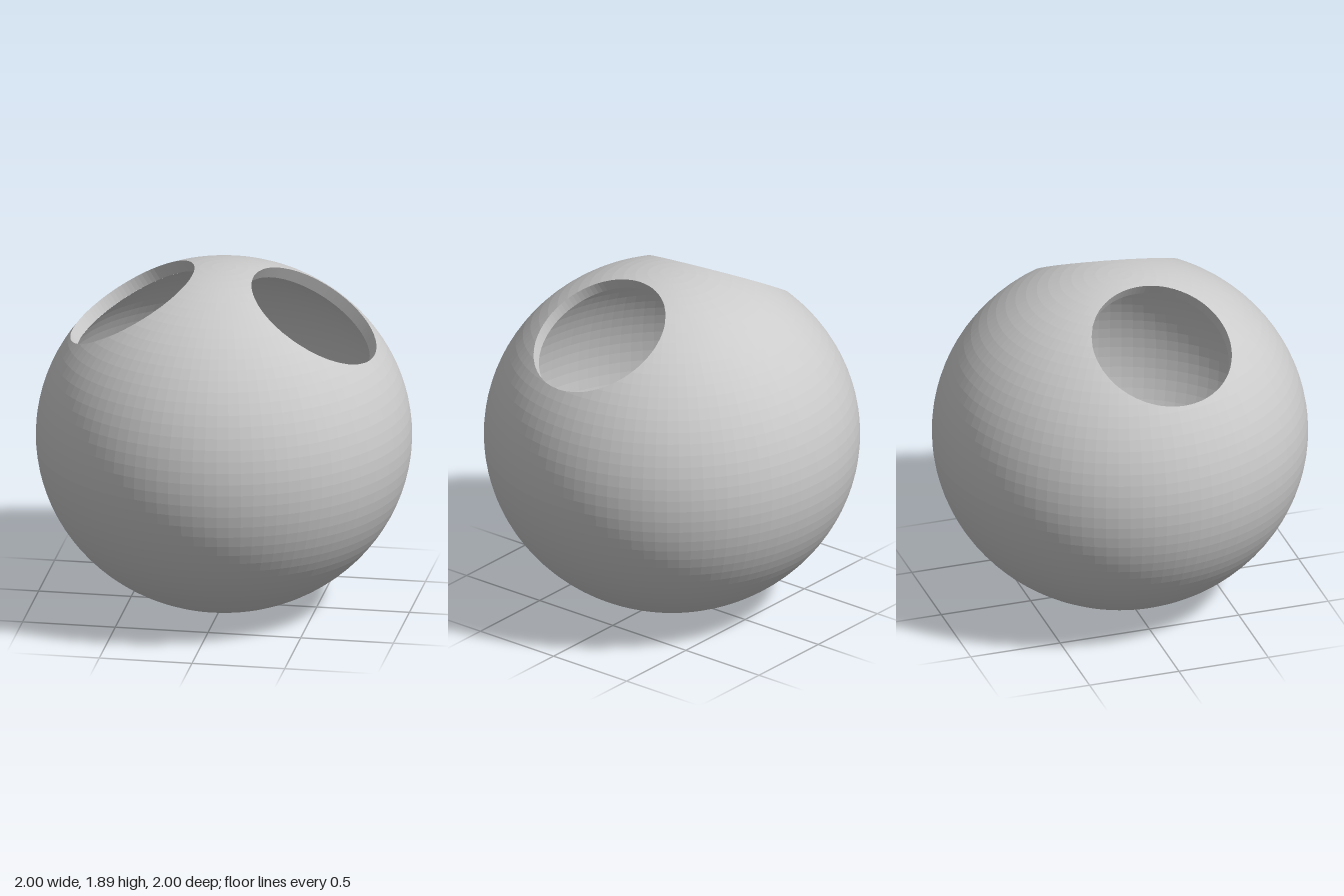
import * as THREE from 'three';

const HALF_HEIGHT = 0.945, WALL = 0.065, HOLE_R = 0.383;
const CENTRE = new THREE.Vector3(0, HALF_HEIGHT, 0);

// The two round openings: a point on each axis, and the outward axis direction
const HOLES = [
  { name: 'leftOpeningRim', point: [0.505, 1.678, 0.09], axis: [0.525, 0.845, 0.095] },
  { name: 'rightOpeningRim', point: [-0.485, 1.69, 0.075], axis: [-0.5, 0.86, 0.08] },
].map(({ name, point, axis }) => ({
  name,
  point: new THREE.Vector3(...point),
  axis: new THREE.Vector3(...axis).normalize(),
}));

const outerRadii = new THREE.Vector3(1, HALF_HEIGHT, 1);
const innerRadii = outerRadii.clone().subScalar(WALL);

// Distance outside a hole's cylinder; negative means the point is cut away
function outside(p, hole) {
  const d = p.clone().sub(hole.point);
  const along = d.dot(hole.axis);
  if (along < -0.5) return 1;
  return d.addScaledVector(hole.axis, -along).length() - HOLE_R;
}

// Point on the edge a-b where it crosses the cylinder
function crossing(a, b, hole) {
  const startOut = outside(a, hole) >= 0;
  let lo = 0, hi = 1;
  for (let i = 0; i < 24; i++) {
    const mid = (lo + hi) / 2;
    if ((outside(a.clone().lerp(b, mid), hole) >= 0) === startOut) lo = mid;
    else hi = mid;
  }
  return a.clone().lerp(b, lo);
}

// Trim a convex polygon to the part outside the cylinder
function trim(polygon, hole) {
  const kept = [];
  polygon.forEach((a, i) => {
    const b = polygon[(i + 1) % polygon.length];
    const aOut = outside(a, hole) >= 0, bOut = outside(b, hole) >= 0;
    if (aOut) kept.push(a);
    if (aOut !== bOut) kept.push(crossing(a, b, hole));
  });
  return kept;
}

function geometryFrom(points) {
  const geometry = new THREE.BufferGeometry().setFromPoints(points);
  geometry.computeVertexNormals();
  return geometry;
}

// Ellipsoid surface with both openings cut out
function cutEllipsoid(radii, inward) {
  const base = new THREE.SphereGeometry(1, 96, 48).toNonIndexed();
  base.scale(radii.x, radii.y, radii.z).translate(0, CENTRE.y, 0);
  const pos = base.attributes.position;
  const points = [];
  for (let i = 0; i < pos.count; i += 3) {
    let polygon = [0, 1, 2].map((k) => new THREE.Vector3().fromBufferAttribute(pos, i + k));
    if (inward) polygon.reverse();
    for (const hole of HOLES) polygon = trim(polygon, hole);
    for (let k = 1; k < polygon.length - 1; k++) points.push(polygon[0], polygon[k], polygon[k + 1]);
  }
  return geometryFrom(points);
}

// Where a line along the hole's axis leaves the ellipsoid
function exitPoint(start, dir, radii) {
  const o = start.clone().sub(CENTRE).divide(radii);
  const d = dir.clone().divide(radii);
  const a = d.dot(d), b = o.dot(d), c = o.dot(o) - 1;
  return start.clone().addScaledVector(dir, (-b + Math.sqrt(b * b - a * c)) / a);
}

// Cylindrical wall of an opening, facing its axis
function rimWall(hole) {
  const n = 96;
  const u = new THREE.Vector3(0, 0, 1).cross(hole.axis).normalize();
  const v = hole.axis.clone().cross(u);
  const ring = (radii) => Array.from({ length: n }, (_, i) => {
    const t = (i / n) * Math.PI * 2;
    const start = hole.point.clone()
      .addScaledVector(u, HOLE_R * Math.cos(t))
      .addScaledVector(v, HOLE_R * Math.sin(t));
    return exitPoint(start, hole.axis, radii);
  });
  const outer = ring(outerRadii), inner = ring(innerRadii);
  const points = [];
  for (let i = 0; i < n; i++) {
    const j = (i + 1) % n;
    points.push(outer[i], outer[j], inner[j], outer[i], inner[j], inner[i]);
  }
  return geometryFrom(points);
}

export function createModel() {
  const group = new THREE.Group();
  group.name = 'hollowGlobe';
  const material = new THREE.MeshStandardMaterial({ color: 0xcccccc, flatShading: true });
  const add = (name, geometry) => {
    const mesh = new THREE.Mesh(geometry, material);
    mesh.name = name;
    group.add(mesh);
  };

  add('outerShell', cutEllipsoid(outerRadii, false));
  add('innerShell', cutEllipsoid(innerRadii, true));
  for (const hole of HOLES) add(hole.name, rimWall(hole));
  return group;
}
